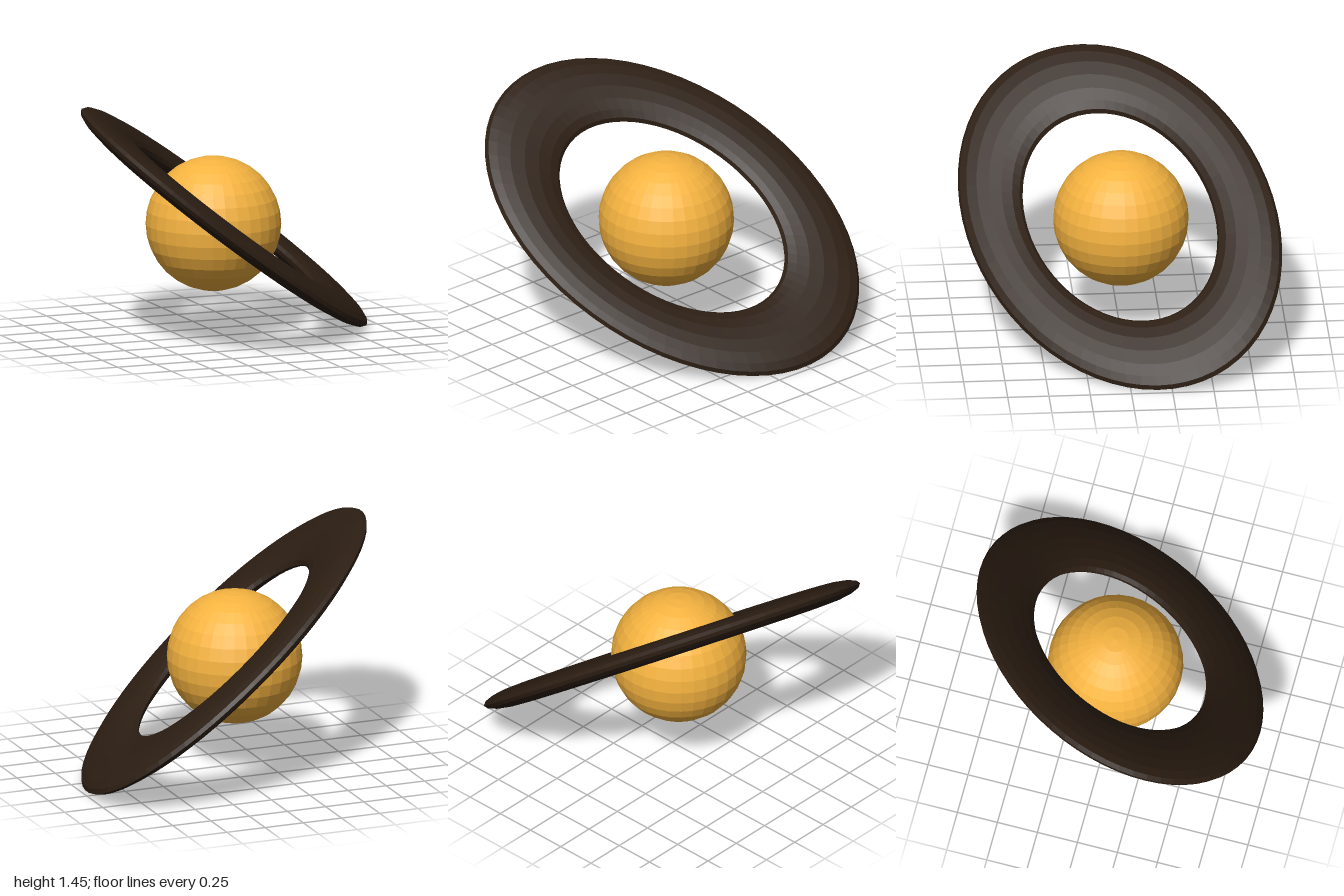
import * as THREE from 'three';

export function createModel() {
  const model = new THREE.Group();
  model.name = 'ringedPlanet';

  // Faceted globe
  const planet = new THREE.Mesh(
    new THREE.SphereGeometry(0.41, 32, 16),
    new THREE.MeshStandardMaterial({ color: 0xf5b340, flatShading: true })
  );
  planet.name = 'planet';
  planet.position.set(-0.065, 0.69, -0.01);
  model.add(planet);

  // Flattened oval ring: a torus stretched along its long axis and tilted
  const longAxis = new THREE.Vector3(0.769, -0.496, -0.403).normalize();
  const normal = new THREE.Vector3(0.601, 0.778, 0.183).normalize();
  const shortAxis = normal.clone().cross(longAxis).normalize();
  const ring = new THREE.Mesh(
    new THREE.TorusGeometry(0.8, 0.2, 16, 64),
    new THREE.MeshStandardMaterial({ color: 0x2c1e13, flatShading: true })
  );
  ring.name = 'ring';
  ring.quaternion.setFromRotationMatrix(
    new THREE.Matrix4().makeBasis(longAxis, shortAxis, normal)
  );
  ring.scale.set(1.27, 0.9, 0.3);
  ring.position.y = 0.725;
  model.add(ring);

  return model;
}
